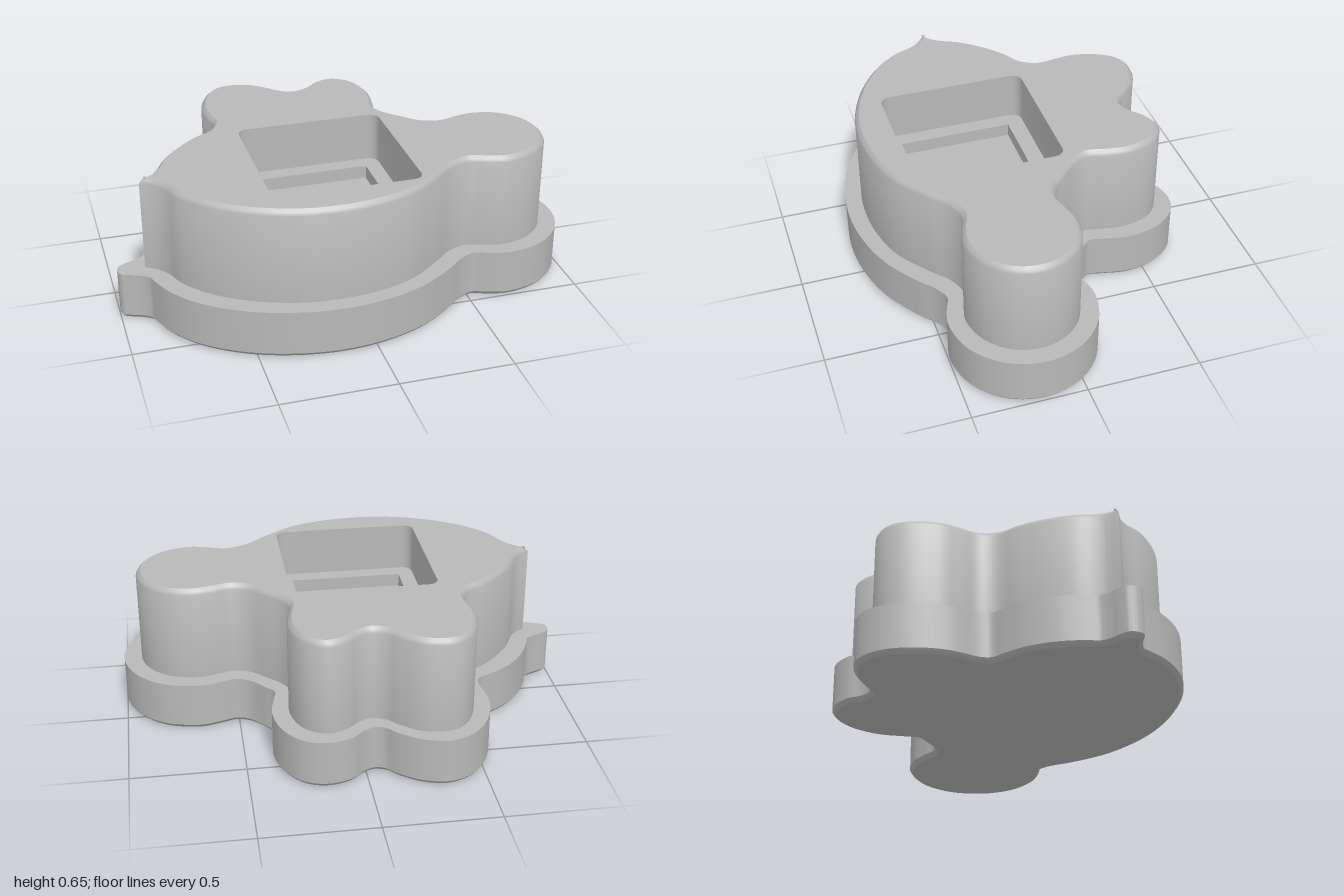
import * as THREE from 'three';
import { toCreasedNormals } from 'three/addons/utils/BufferGeometryUtils.js';

const grey = new THREE.MeshStandardMaterial({ color: 0xb8b8b8 });
grey.name = 'plain grey';

// Outlines as x, z pairs, running clockwise seen from above
const BASE = [
  -1, .185, -.99, .15, -.96, .13, -.91, .11, -.875, .085, -.855, .03, -.8, -.07, -.71, -.165,
  -.62, -.22, -.565, -.25, -.55, -.3, -.563, -.42, -.54, -.55, -.48, -.66, -.41, -.72, -.32, -.745,
  -.21, -.715, -.12, -.65, -.075, -.605, -.035, -.595, .01, -.615, .07, -.665, .17, -.69, .27, -.66,
  .35, -.56, .38, -.42, .36, -.3, .35, -.24, .39, -.19, .45, -.125, .51, -.1, .58, -.12,
  .68, -.14, .84, -.097, .957, .02, 1, .18, .957, .34, .84, .457, .68, .5, .58, .48,
  .52, .46, .45, .49, .38, .55, .22, .655, .04, .715, -.15, .735, -.35, .71, -.55, .64,
  -.72, .525, -.82, .4, -.86, .31, -.875, .275, -.91, .25, -.96, .23, -.99, .215,
];
const BODY = [
  -.88, .185, -.83, .15, -.8, .11, -.76, .03, -.68, -.07, -.59, -.15, -.51, -.2, -.475, -.27,
  -.485, -.36, -.49, -.45, -.45, -.58, -.39, -.65, -.32, -.67, -.22, -.65, -.14, -.59, -.09, -.54,
  -.035, -.52, .02, -.54, .08, -.59, .17, -.617, .26, -.56, .305, -.43, .295, -.32, .28, -.24,
  .31, -.175, .37, -.11, .44, -.045, .51, -.025, .59, -.045, .68, -.06, .8, -.028, .888, .06,
  .92, .18, .888, .3, .8, .388, .68, .425, .59, .41, .51, .385, .42, .415, .33, .49,
  .18, .595, .02, .645, -.14, .66, -.3, .645, -.5, .575, -.65, .475, -.75, .36, -.79, .27,
  -.83, .22, -.88, .185,
];

// Smooth outline through the pairs; an open one keeps its end corner sharp
function outline(flat, closed) {
  const pts = [];
  for (let i = 0; i < flat.length; i += 2) pts.push(new THREE.Vector3(flat[i], 0, flat[i + 1]));
  return new THREE.CatmullRomCurve3(pts, closed).getPoints(pts.length * 5).slice(0, -1)
    .map((p) => new THREE.Vector2(p.x, p.z));
}

function roundedRect(cx, cz, hx, hz, r) {
  const corners = [[-1, -1], [1, -1], [1, 1], [-1, 1]];
  const steps = r > 0 ? 6 : 0;
  const pts = [];
  corners.forEach(([sx, sz], k) => {
    for (let i = 0; i <= steps; i++) {
      const a = Math.PI + (k + (steps ? i / steps : 0)) * Math.PI / 2;
      pts.push(new THREE.Vector2(cx + sx * (hx - r) + r * Math.cos(a), cz + sz * (hz - r) + r * Math.sin(a)));
    }
  });
  return pts;
}

// Move an outline inward, with limited mitres
function inset(pts, d) {
  if (!d) return pts;
  const n = pts.length;
  return pts.map((p, i) => {
    const a = p.clone().sub(pts[(i + n - 1) % n]).normalize();
    const b = pts[(i + 1) % n].clone().sub(p).normalize();
    const m = new THREE.Vector2(a.y + b.y, -a.x - b.x).normalize();
    const c = Math.max(0.45, m.x * a.y - m.y * a.x);
    return p.clone().addScaledVector(m, -d / c);
  });
}

// Wall through rings of [height, inset]; rising rings face out, falling ones face in
function wall(pts, rings) {
  const n = pts.length, pos = [], index = [];
  rings.forEach(([y, d], r) => {
    inset(pts, d).forEach((p) => pos.push(p.x, y, p.y));
    if (!r) return;
    for (let i = 0; i < n; i++) {
      const j = (i + 1) % n, lo = (r - 1) * n, hi = r * n;
      index.push(lo + i, hi + i, hi + j, lo + i, hi + j, lo + j);
    }
  });
  const g = new THREE.BufferGeometry();
  g.setAttribute('position', new THREE.Float32BufferAttribute(pos, 3));
  g.setIndex(index);
  return toCreasedNormals(g, 0.6);
}

// Flat face at height y, facing up or down
function cap(pts, y, hole, down = false) {
  const s = down ? 1 : -1;
  const flip = (list) => list.map((p) => new THREE.Vector2(p.x, s * p.y));
  const shape = new THREE.Shape(flip(pts));
  if (hole) shape.holes.push(new THREE.Path(flip(hole)));
  return new THREE.ShapeGeometry(shape).rotateX(s * Math.PI / 2).translate(0, y, 0);
}

export function createModel() {
  const model = new THREE.Group();
  model.name = 'outlinedBlock';
  const part = (name, ...geometries) => {
    const group = new THREE.Group();
    group.name = name;
    geometries.forEach((g, i) => {
      const mesh = new THREE.Mesh(g, grey);
      mesh.name = name + (i ? 'Face' + i : 'Wall');
      group.add(mesh);
    });
    model.add(group);
  };

  const base = outline(BASE, true);
  const body = outline(BODY, false);
  const pocket = roundedRect(-0.065, 0.18, 0.325, 0.33, 0.045);
  const recess = roundedRect(-0.065, 0.18, 0.255, 0.255, 0);

  // Wide foot with a rounded lower rim
  part('base', wall(base, [[0, 0.018], [0.008, 0.009], [0.02, 0], [0.22, 0]]),
    cap(inset(base, 0.018), 0, null, true), cap(base, 0.22, body));

  // Narrower upper block with a rounded upper rim
  part('body', wall(body, [[0.22, 0], [0.625, 0], [0.638, 0.007], [0.65, 0.02]]),
    cap(inset(body, 0.02), 0.65, pocket));

  // Stepped square pocket
  part('pocket', wall(pocket, [[0.65, 0], [0.43, 0]]), cap(pocket, 0.43, recess));
  part('recess', wall(recess, [[0.43, 0], [0.37, 0]]), cap(recess, 0.37));

  return model;
}
